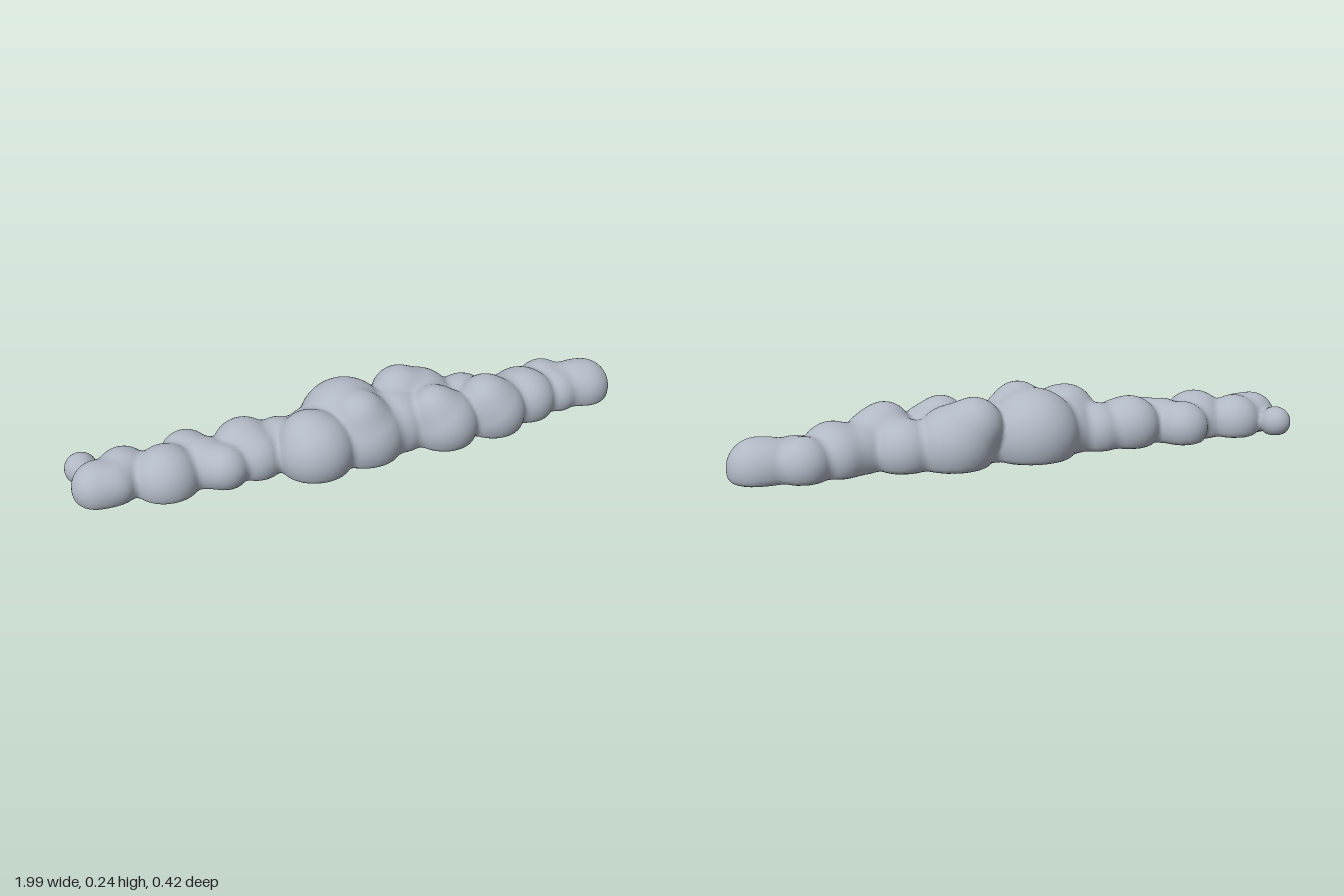
import * as THREE from 'three';

// Puffs of the cloud: x, y, z, radius
const puffs = [
  // left tail
  [-0.945, 0.06, -0.12, 0.055], [-0.91, 0.055, 0, 0.088], [-0.82, 0.055, -0.04, 0.095],
  [-0.86, 0.06, 0.015, 0.075], [-0.69, 0.05, 0.02, 0.113], [-0.6, 0.06, -0.07, 0.09],
  [-0.5, 0.065, 0.055, 0.08], [-0.55, 0.055, 0, 0.095], [-0.41, 0.07, -0.03, 0.108],
  [-0.38, 0.06, 0.02, 0.093], [-0.29, 0.06, -0.02, 0.1],
  // middle
  [-0.19, 0.075, 0.075, 0.133], [-0.21, 0.12, 0.06, 0.092], [-0.17, 0.07, -0.01, 0.11],
  [-0.04, 0.08, -0.05, 0.16], [-0.02, 0.15, 0.045, 0.095], [0, 0.07, 0.04, 0.138],
  [0.13, 0.07, 0, 0.125], [0.245, 0.075, -0.075, 0.138], [0.18, 0.135, -0.085, 0.1],
  [0.29, 0.07, 0.06, 0.12], [0.255, 0.13, 0.055, 0.085],
  // right tail
  [0.41, 0.065, -0.05, 0.108], [0.485, 0.07, 0.045, 0.118], [0.455, 0.12, 0.045, 0.092],
  [0.56, 0.06, -0.01, 0.1], [0.64, 0.065, 0, 0.107], [0.63, 0.06, -0.04, 0.1],
  [0.75, 0.06, -0.08, 0.092], [0.77, 0.055, -0.015, 0.085], [0.84, 0.055, -0.04, 0.09],
  [0.89, 0.05, -0.03, 0.1],
];

// Polynomial smooth minimum
function blend(a, b, k) {
  const h = Math.max(k - Math.abs(a - b), 0) / k;
  return Math.min(a, b) - h * h * k / 4;
}

// Distance field: softly merged puffs cut by a nearly flat floor
function field(x, y, z) {
  let d = 1;
  for (const [px, py, pz, r] of puffs) {
    if (Math.abs(x - px) > r + 0.15) continue;
    d = blend(d, Math.hypot(x - px, y - py, z - pz) - r, 0.022);
  }
  const floor = 0.002 + 0.2 * z * z + 0.006 * x * x - y;
  return -blend(-d, -floor, 0.018);
}

function gradient([x, y, z]) {
  const e = 0.002;
  return new THREE.Vector3(
    field(x + e, y, z) - field(x - e, y, z),
    field(x, y + e, z) - field(x, y - e, z),
    field(x, y, z + e) - field(x, y, z - e)).normalize();
}

// Skin the field with one vertex per crossed grid cell
function skin(origin, size, step) {
  const n = size.map(s => Math.ceil(s / step));
  const stride = [1, n[0], n[0] * n[1]];
  const values = new Float32Array(n[0] * n[1] * n[2]);
  const place = (i, j, k) => [origin[0] + i * step, origin[1] + j * step, origin[2] + k * step];
  const eachNode = (from, visit) => {
    for (let k = from; k < n[2] - from; k++)
      for (let j = from; j < n[1] - from; j++)
        for (let i = from; i < n[0] - from; i++) visit(i, j, k, i + j * stride[1] + k * stride[2]);
  };
  eachNode(0, (i, j, k, id) => { values[id] = field(...place(i, j, k)); });

  const positions = [], normals = [], index = [], vertexOf = new Map();
  eachNode(1, (i, j, k, id) => {
    // average the crossings on the twelve cell edges
    const sum = [0, 0, 0];
    let count = 0;
    for (let a = 0; a < 3; a++) {
      const b = (a + 1) % 3, c = (a + 2) % 3;
      for (let m = 0; m < 4; m++) {
        const u = m & 1, v = m >> 1;
        const start = id + u * stride[b] + v * stride[c];
        const f0 = values[start], f1 = values[start + stride[a]];
        if ((f0 < 0) === (f1 < 0)) continue;
        sum[a] += f0 / (f0 - f1);
        sum[b] += u;
        sum[c] += v;
        count++;
      }
    }
    if (!count) return;
    const p = place(i + sum[0] / count, j + sum[1] / count, k + sum[2] / count);
    const g = gradient(p), d = field(...p);
    p[0] -= g.x * d; p[1] -= g.y * d; p[2] -= g.z * d;
    const normal = gradient(p);
    vertexOf.set(id, positions.length / 3);
    positions.push(...p);
    normals.push(normal.x, normal.y, normal.z);
  });

  // join the four cells around every crossed grid edge
  eachNode(1, (i, j, k, id) => {
    for (let a = 0; a < 3; a++) {
      const inside = values[id] < 0;
      if (inside === (values[id + stride[a]] < 0)) continue;
      const b = stride[(a + 1) % 3], c = stride[(a + 2) % 3];
      const q = [id, id - b, id - b - c, id - c].map(cell => vertexOf.get(cell));
      if (!inside) q.reverse();
      index.push(q[0], q[1], q[2], q[0], q[2], q[3]);
    }
  });

  const geometry = new THREE.BufferGeometry();
  geometry.setAttribute('position', new THREE.Float32BufferAttribute(positions, 3));
  geometry.setAttribute('normal', new THREE.Float32BufferAttribute(normals, 3));
  geometry.setIndex(index);
  return geometry;
}

export function createModel() {
  const group = new THREE.Group();
  group.name = 'cloud';
  const grey = new THREE.MeshStandardMaterial({ color: 0xb0b8c4 });
  grey.name = 'cloudGrey';
  const body = new THREE.Mesh(skin([-1.05, -0.04, -0.27], [2.1, 0.34, 0.54], 0.0115), grey);
  body.name = 'cloudBody';
  group.add(body);
  return group;
}
